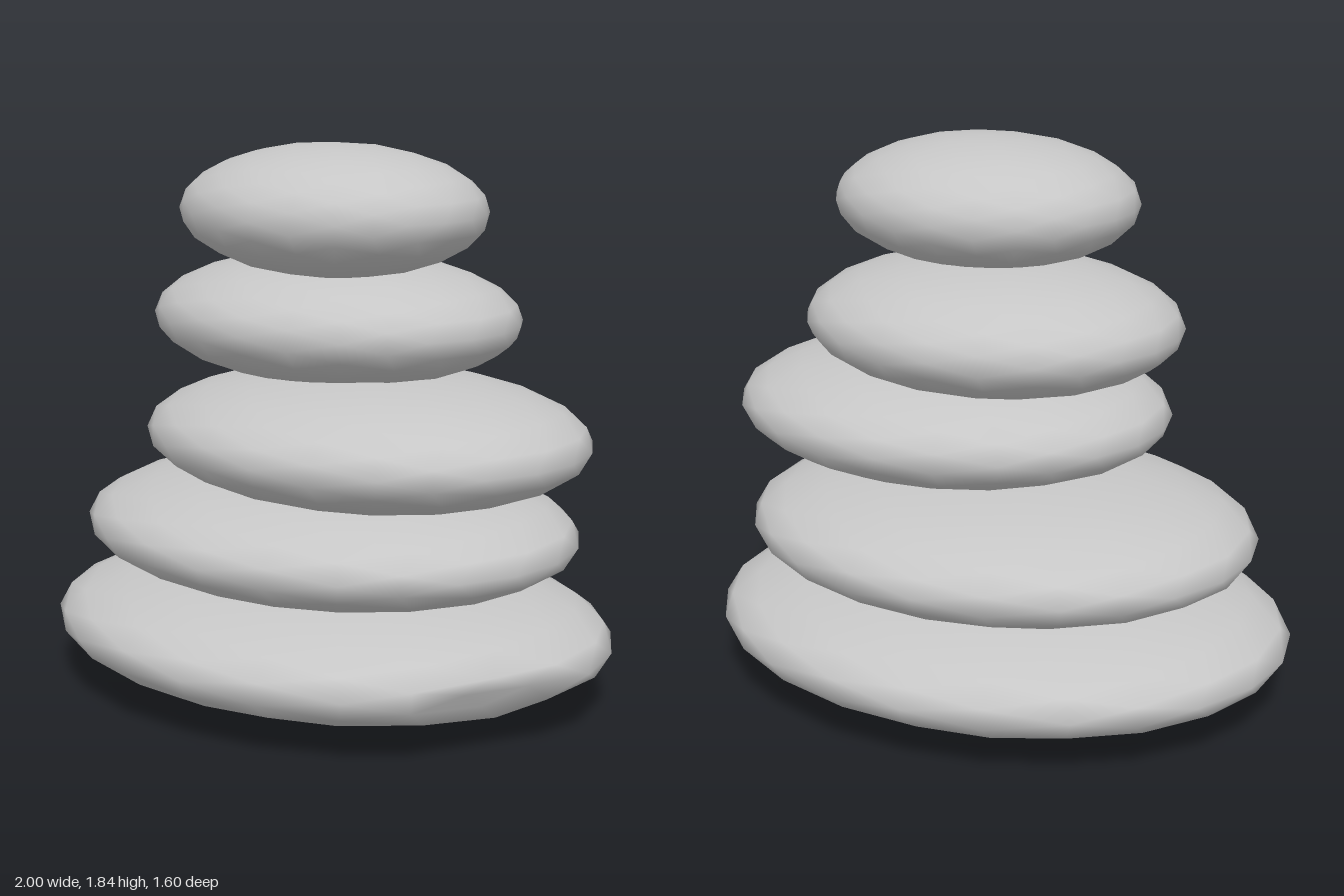
import * as THREE from 'three';
import { mergeVertices } from 'three/addons/utils/BufferGeometryUtils.js';

// Unit icosphere made by halving every edge and pushing the midpoints outward
function icosphere(rounds) {
  let geo = new THREE.IcosahedronGeometry(1, 0);
  for (let r = 0; r < rounds; r++) {
    const p = geo.attributes.position;
    const points = [];
    for (let i = 0; i < p.count; i += 3) {
      const [a, b, c] = [0, 1, 2].map((k) => new THREE.Vector3().fromBufferAttribute(p, i + k));
      const mid = (u, v) => u.clone().add(v).normalize();
      const [ab, bc, ca] = [mid(a, b), mid(b, c), mid(c, a)];
      points.push(a, ab, ca, ab, b, bc, ca, bc, c, ab, bc, ca);
    }
    geo = new THREE.BufferGeometry().setFromPoints(points);
  }
  return mergeVertices(geo, 1e-4);
}

// Smooth, fairly coarse pebble: an icosphere stretched to its three radii
function pebbleGeometry(rx, ry, rz, dent) {
  const geo = icosphere(2);
  if (dent) {
    // push a small area of the rim inward, fading out with distance
    const p = geo.attributes.position;
    const v = new THREE.Vector3();
    for (let i = 0; i < p.count; i++) {
      v.fromBufferAttribute(p, i);
      const d = v.distanceTo(dent.at) / dent.radius;
      if (d < 1) v.multiplyScalar(1 - dent.depth * (1 - d * d));
      p.setXYZ(i, v.x, v.y, v.z);
    }
  }
  geo.scale(rx, ry, rz);
  geo.computeVertexNormals();
  return geo;
}

export function createModel() {
  const group = new THREE.Group();
  group.name = 'stackedStones';
  const stone = new THREE.MeshStandardMaterial({ color: 0xc6c6c6 });
  stone.name = 'stone grey';

  const dent = { at: new THREE.Vector3(0.89, -0.1, 0.42), radius: 0.36, depth: 0.09 };

  // name, centre, radii, optional dent
  const stones = [
    ['bottomStone', [0, 0.22, 0], [1, 0.22, 0.8], dent],
    ['secondStone', [0, 0.557, 0], [0.878, 0.212, 0.71]],
    ['middleStone', [0.232, 0.915, 0.12], [0.76, 0.212, 0.62]],
    ['fourthStone', [0.032, 1.266, 0.005], [0.64, 0.213, 0.53]],
    ['topStone', [0.118, 1.632, 0.145], [0.518, 0.212, 0.44]],
  ];
  for (const [name, centre, radii, mark] of stones) {
    const mesh = new THREE.Mesh(pebbleGeometry(...radii, mark), stone);
    mesh.name = name;
    mesh.position.set(...centre);
    group.add(mesh);
  }
  return group;
}
